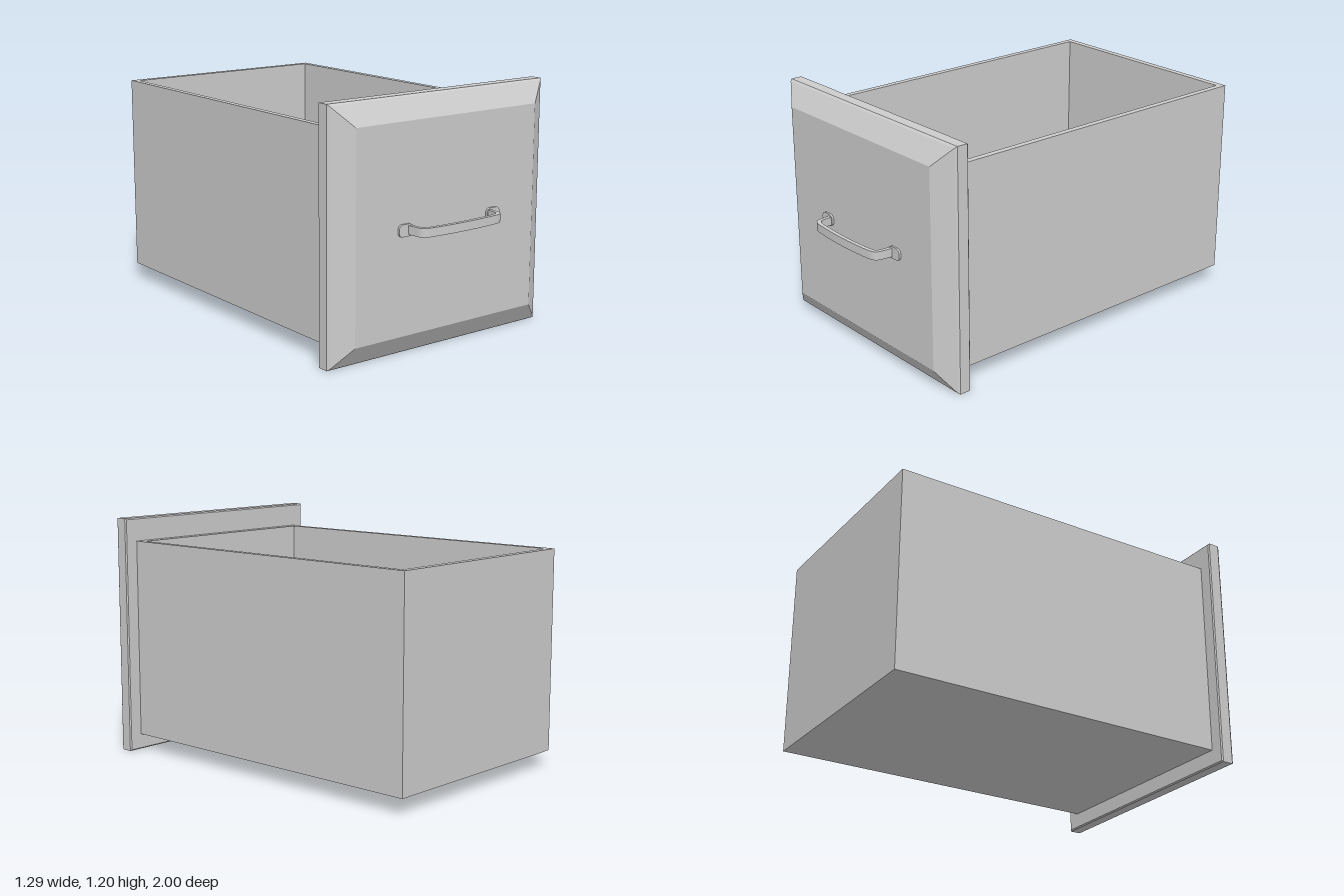
import * as THREE from 'three';
import { toCreasedNormals } from 'three/addons/utils/BufferGeometryUtils.js';

const material = new THREE.MeshStandardMaterial({ color: 0xcccccc });

function addPart(parent, name, geometry) {
  const mesh = new THREE.Mesh(geometry, material);
  mesh.name = name;
  parent.add(mesh);
  return mesh;
}

function rectPath(path, x, z0, z1) {
  path.moveTo(-x, z0).lineTo(x, z0).lineTo(x, z1).lineTo(-x, z1).closePath();
  return path;
}

// Extrudes a plan outline (x, z) downwards from height top
function extrudePlan(shape, top, height, curveSegments = 12) {
  const g = new THREE.ExtrudeGeometry(shape, { depth: height, bevelEnabled: false, curveSegments });
  return g.rotateX(Math.PI / 2).translate(0, top, 0);
}

// Rectangular rings [z, inset] joined from back to front, capped at both ends
function panelGeometry(halfW, height, rings) {
  const positions = [];
  const indices = [];
  for (const [z, inset] of rings) {
    const x = halfW - inset, y0 = inset, y1 = height - inset;
    positions.push(-x, y0, z, x, y0, z, x, y1, z, -x, y1, z);
  }
  for (let r = 0; r < rings.length - 1; r++) {
    for (let i = 0; i < 4; i++) {
      const a = r * 4 + i, b = r * 4 + (i + 1) % 4;
      indices.push(a, b, b + 4, a, b + 4, a + 4);
    }
  }
  const f = (rings.length - 1) * 4;
  indices.push(0, 2, 1, 0, 3, 2, f, f + 1, f + 2, f, f + 2, f + 3);
  const g = new THREE.BufferGeometry();
  g.setAttribute('position', new THREE.Float32BufferAttribute(positions, 3));
  g.setIndex(indices);
  return toCreasedNormals(g, 0.3);
}

// Flat bow outline: legs rise from the panel, rounded shoulders, gently arched grip
function handleShape() {
  const s = new THREE.Shape();
  s.moveTo(-0.255, 0.885);
  s.lineTo(-0.248, 0.945);
  s.bezierCurveTo(-0.245, 0.975, -0.23, 0.985, -0.2, 0.99);
  s.quadraticCurveTo(0, 1.01, 0.2, 0.99);
  s.bezierCurveTo(0.23, 0.985, 0.245, 0.975, 0.248, 0.945);
  s.lineTo(0.255, 0.885);
  s.lineTo(0.235, 0.885);
  s.lineTo(0.229, 0.94);
  s.bezierCurveTo(0.227, 0.96, 0.218, 0.966, 0.195, 0.97);
  s.quadraticCurveTo(0, 0.99, -0.195, 0.97);
  s.bezierCurveTo(-0.218, 0.966, -0.227, 0.96, -0.229, 0.94);
  s.lineTo(-0.235, 0.885);
  s.closePath();
  return s;
}

function roundedPlate(w, h, r) {
  const s = new THREE.Shape();
  const x = w / 2 - r, y = h / 2 - r;
  s.absarc(x, y, r, 0, Math.PI / 2);
  s.absarc(-x, y, r, Math.PI / 2, Math.PI);
  s.absarc(-x, -y, r, Math.PI, Math.PI * 1.5);
  s.absarc(x, -y, r, Math.PI * 1.5, Math.PI * 2);
  s.closePath();
  const g = new THREE.ExtrudeGeometry(s, { depth: 0.01, bevelEnabled: false, curveSegments: 6 });
  return toCreasedNormals(g, 0.6);
}

export function createModel() {
  const model = new THREE.Group();
  model.name = 'drawer';

  // Open box: four walls and a floor
  const box = new THREE.Group();
  box.name = 'drawerBox';
  const walls = rectPath(new THREE.Shape(), 0.573, -1, 0.75);
  walls.holes.push(rectPath(new THREE.Path(), 0.542, -0.966, 0.71));
  addPart(box, 'walls', extrudePlan(walls, 1.085, 1.005));
  const floor = rectPath(new THREE.Shape(), 0.542, -0.966, 0.71);
  addPart(box, 'floor', extrudePlan(floor, 0.115, 0.035));
  model.add(box);

  // Front panel with wide bevel and softened outer edges
  addPart(model, 'frontPanel', panelGeometry(0.643, 1.203, [
    [0.75, 0.006], [0.756, 0], [0.812, 0], [0.822, 0.008], [0.885, 0.104],
  ]));

  // Pull handle with its two mounting plates
  const handle = new THREE.Group();
  handle.name = 'handle';
  addPart(handle, 'grip', toCreasedNormals(extrudePlan(handleShape(), 0.625, 0.042, 14), 0.6));
  for (const side of [-1, 1]) {
    const plate = addPart(handle, side > 0 ? 'leftPlate' : 'rightPlate', roundedPlate(0.08, 0.058, 0.022));
    plate.position.set(side * 0.267, 0.604, 0.885);
  }
  handle.position.x = 0.008;
  model.add(handle);

  return model;
}
